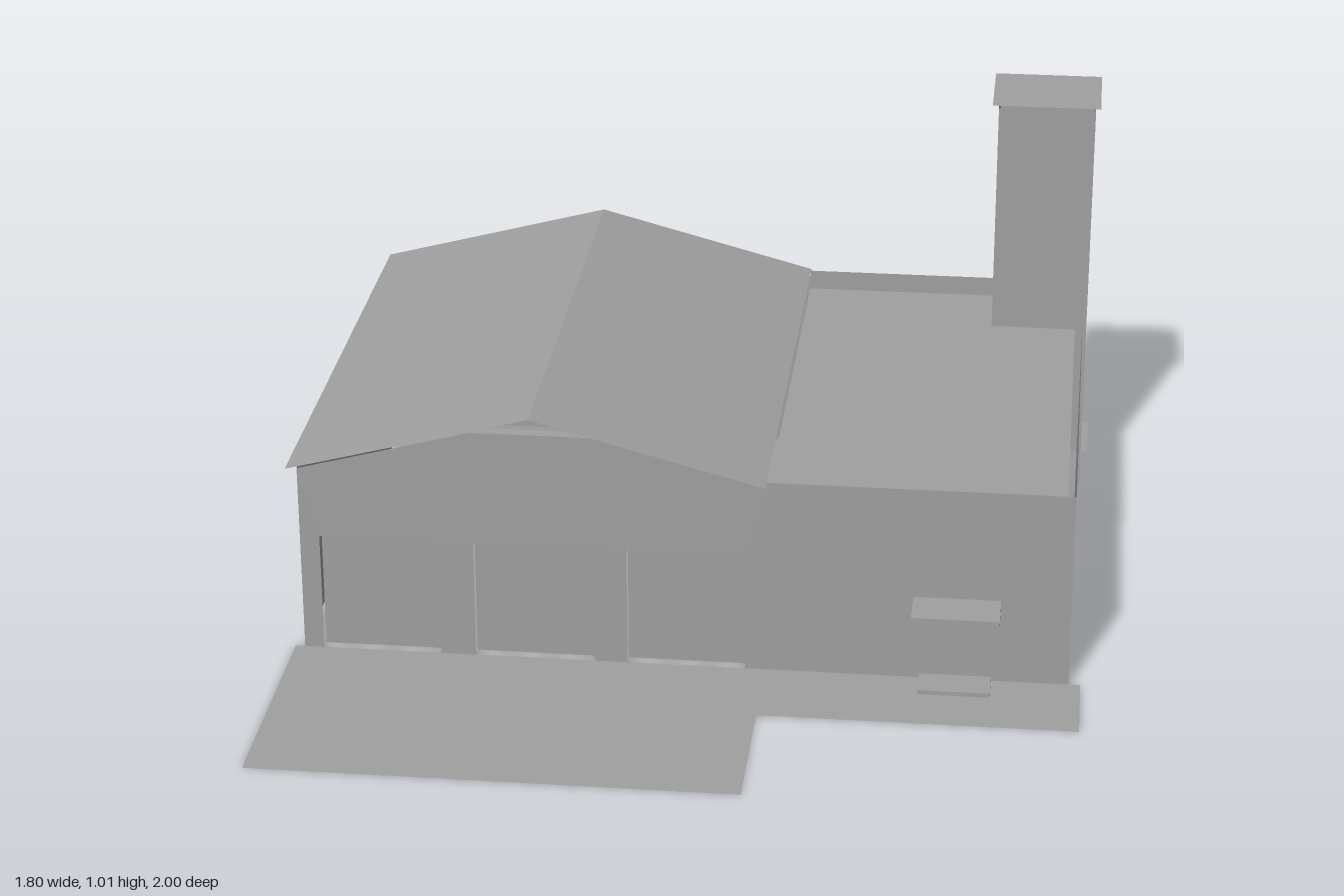
import * as THREE from 'three';

export function createModel() {
  const model = new THREE.Group();
  model.name = 'garageBuilding';
  const grey = new THREE.MeshStandardMaterial({ color: 0xa0a0a0, side: THREE.DoubleSide });
  grey.name = 'concreteGrey';

  const add = (name, geometry, x = 0, y = 0, z = 0) => {
    const mesh = new THREE.Mesh(geometry, grey);
    mesh.name = name;
    mesh.position.set(x, y, z);
    model.add(mesh);
    return mesh;
  };
  const outline = (pts) =>
    new THREE.ShapeGeometry(new THREE.Shape(pts.map(([a, b]) => new THREE.Vector2(a, b))));
  // upright sheet facing +z (or -z when back is true), given as x, y points
  const wallX = (name, pts, z, back = false) => {
    const g = outline(back ? pts.map(([x, y]) => [-x, y]) : pts);
    if (back) g.rotateY(Math.PI);
    return add(name, g, 0, 0, z);
  };
  // upright rectangle facing +x (side 1) or -x (side -1)
  const wallZ = (name, x, z0, z1, y0, y1, side) => {
    const g = new THREE.PlaneGeometry(z1 - z0, y1 - y0).rotateY(side * Math.PI / 2);
    return add(name, g, x, (y0 + y1) / 2, (z0 + z1) / 2);
  };
  // level sheet, given as x, z points
  const level = (name, pts, y) =>
    add(name, outline(pts.map(([x, z]) => [x, -z])).rotateX(-Math.PI / 2), 0, y, 0);
  const rect = (a0, a1, b0, b1) => [[a0, b0], [a1, b0], [a1, b1], [a0, b1]];
  // bottom edge of a wall, running left to right around its door openings
  const bottomEdge = (x0, x1, doors, h) =>
    [[x0, 0], ...doors.flatMap(([a, b]) => [[a, 0], [a, h], [b, h], [b, 0]]), [x1, 0]];

  const L = -0.878, R = 0.873, F = 0.435, B = -0.82, ridge = -0.345;

  // front wall with three garage openings and a clipped gable
  const garageDoors = [[-0.833, -0.56], [-0.48, -0.205], [-0.13, 0.14]];
  wallX('frontWall', [...bottomEdge(L, R, garageDoors, 0.285),
    [R, 0.47], [0.185, 0.47], [0.185, 0.455], [-0.21, 0.56], [-0.48, 0.56], [L, 0.453]], F);
  for (const [a, b] of garageDoors) wallX('garageDoor', rect(a, b, 0, 0.285), 0.41);

  // back wall with full gable, small doors and the tower back
  const backDoors = [[-0.44, -0.37], [-0.345, -0.277], [0.56, 0.625]];
  wallX('backWall', [...bottomEdge(L, 0.883, backDoors, 0.14),
    [0.883, 1], [0.65, 1], [0.65, 0.47], [0.185, 0.47], [0.185, 0.455], [ridge, 0.595], [L, 0.453]], B, true);
  for (const [a, b] of backDoors) wallX('backDoor', rect(a, b, 0, 0.14), -0.795, true);

  // side walls
  wallZ('leftWall', L, B, F, 0, 0.453, -1);
  wallZ('rightWall', R, -0.604, F, 0, 0.47, 1);

  // tower
  wallZ('towerRightWall', 0.883, B, -0.604, 0, 1, 1);
  wallZ('towerLeftWall', 0.65, B, -0.604, 0.43, 1, -1);
  wallX('towerFrontWall', [[R, 0], [0.883, 0], [0.883, 1], [0.65, 1], [0.65, 0.43], [R, 0.43]], -0.604);
  level('towerCap', rect(0.635, 0.895, -0.838, -0.6), 1.008);

  // pitched roof made of two sheets meeting at the ridge
  const slope = 0.265, roofFront = 0.458, roofBack = -0.837;
  for (const [name, edge] of [['leftRoofSlope', -0.9], ['rightRoofSlope', 0.185]]) {
    const run = edge - ridge;
    const g = new THREE.PlaneGeometry(Math.abs(run), roofFront - roofBack).rotateX(-Math.PI / 2);
    const p = g.attributes.position;
    for (let i = 0; i < p.count; i++) p.setY(i, -slope * Math.abs(p.getX(i) + run / 2));
    g.computeVertexNormals();
    add(name, g, ridge + run / 2, 0.608, (roofFront + roofBack) / 2);
  }

  // flat roof behind the parapet, and the garage floor
  level('flatRoof', rect(0.185, 0.855, -0.8, 0.412), 0.43);
  level('garageFloor', rect(-0.86, 0.18, -0.8, 0.412), 0);

  // paving
  level('frontPaving', [[-0.9, 0.435], [0.9, 0.435], [0.9, 0.65], [0.185, 0.65], [0.185, 1], [-0.9, 1]], 0);
  level('backPaving', rect(-0.9, 0.9, -1, -0.817), 0);

  // entrance canopy and doorstep
  add('canopy', new THREE.BoxGeometry(0.197, 0.015, 0.103), 0.617, 0.196, 0.4865);
  add('doorstep', new THREE.BoxGeometry(0.163, 0.01, 0.08), 0.617, 0.005, 0.475);

  return model;
}
